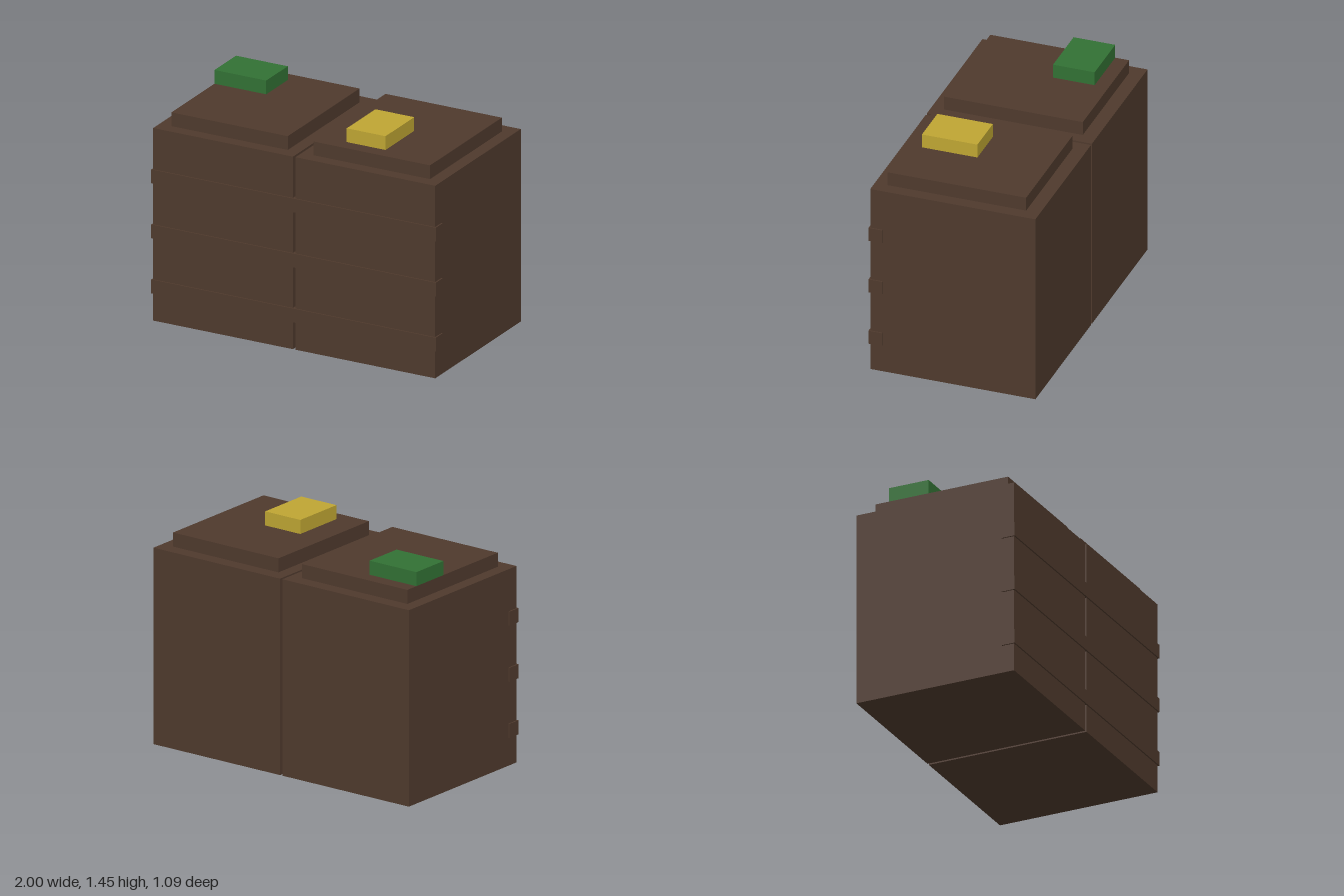
import * as THREE from 'three';

export function createModel() {
  const model = new THREE.Group();
  model.name = 'twinCrates';
  const material = (name, color) => {
    const m = new THREE.MeshStandardMaterial({ color });
    m.name = name;
    return m;
  };
  const brown = material('dark brown wood', 0x4f3a2d);
  const green = material('green', 0x327134);
  const yellow = material('yellow', 0xbfa633);

  // box given by its lower and upper corners
  const box = (name, mat, [x0, y0, z0], [x1, y1, z1]) => {
    const mesh = new THREE.Mesh(new THREE.BoxGeometry(x1 - x0, y1 - y0, z1 - z0), mat);
    mesh.position.set((x0 + x1) / 2, (y0 + y1) / 2, (z0 + z1) / 2);
    mesh.name = name;
    model.add(mesh);
  };

  const u = 1 / 11; // design grid
  const gap = 0.009;

  // two crates side by side, each with a raised lid
  for (const [side, cx] of [['right', -0.5], ['left', 0.5]]) {
    const half = 0.5 - gap;
    box(side + 'Crate', brown, [cx - half, 0, -6 * u], [cx + half, 14 * u, 6 * u - gap]);
    box(side + 'Lid', brown, [cx - 4.5 * u, 14 * u, -5 * u], [cx + 4.5 * u, 15 * u, 5 * u]);
  }

  // slats across the front, standing slightly proud
  for (const row of [2, 6, 10]) {
    box('frontSlat', brown, [-1, row * u, 5 * u], [1, (row + 1) * u, 6 * u]);
  }

  // small blocks on the lids
  box('greenBlock', green, [-10 * u, 15 * u, -4 * u], [-6 * u, 16 * u, -u]);
  box('yellowBlock', yellow, [3 * u, 15 * u, 0], [6 * u, 16 * u, 4 * u]);

  return model;
}
